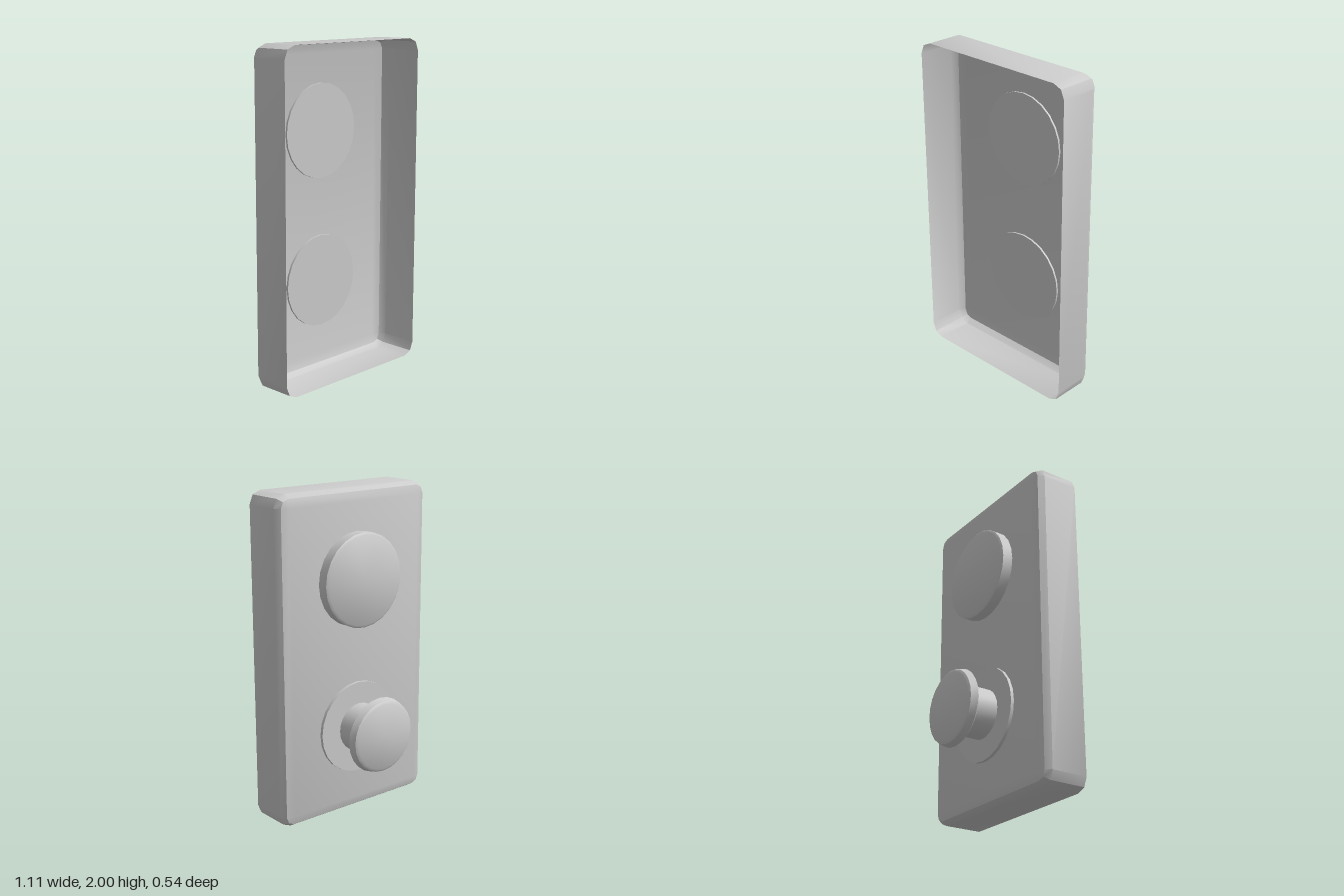
import * as THREE from 'three';
import { toCreasedNormals } from 'three/addons/utils/BufferGeometryUtils.js';

const W = 0.555, H = 1, R = 0.075, CREASE = 0.6;

// Open-fronted tray: rounded rectangles lofted from the front rim to the back panel
function shellGeometry() {
  const rings = [[0, 0.27], [0, 0.04], [0.023, 0.003], [R, -0.012]]; // inset, z
  const corners = [[1, 1], [-1, 1], [-1, -1], [1, -1]];
  const pos = [], idx = [], n = 12;
  for (const [inset, z] of rings) {
    corners.forEach(([sx, sy], c) => {
      for (let s = 0; s < 3; s++) {
        const a = (c + s / 2) * Math.PI / 2;
        pos.push(sx * (W - R) + Math.cos(a) * (R - inset),
          1 + sy * (H - R) + Math.sin(a) * (R - inset), z);
      }
    });
  }
  for (let k = 0; k < rings.length - 1; k++) {
    for (let i = 0; i < n; i++) {
      const j = (i + 1) % n;
      const a = k * n + i, b = k * n + j, c = a + n, d = b + n;
      // corner arcs shrink to a point at the back panel
      if (k < rings.length - 2 || i % 3 === 2) idx.push(a, c, d);
      idx.push(a, d, b);
    }
  }
  const e = (rings.length - 1) * n;
  idx.push(e, e + 9, e + 6, e, e + 6, e + 3);
  const g = new THREE.BufferGeometry();
  g.setAttribute('position', new THREE.Float32BufferAttribute(pos, 3));
  g.setIndex(idx);
  return toCreasedNormals(g, CREASE);
}

// Turned part pointing backwards (-z); profile is [radius, distance behind z = 0]
function turned(profile) {
  const g = new THREE.LatheGeometry(profile.map(([r, h]) => new THREE.Vector2(r, h)), 24);
  g.rotateX(-Math.PI / 2);
  return toCreasedNormals(g, CREASE);
}

export function createModel() {
  const group = new THREE.Group();
  const grey = new THREE.MeshStandardMaterial({ color: 0xcccccc });
  const thin = new THREE.MeshStandardMaterial({ color: 0xcccccc, side: THREE.DoubleSide });
  const add = (name, geometry, y, material = grey) => {
    const mesh = new THREE.Mesh(geometry, material);
    mesh.name = name;
    mesh.position.y = y;
    group.add(mesh);
  };

  add('trayShell', shellGeometry(), 0, thin);

  // Upper disc and lower base plate pass slightly through the panel
  add('upperDisc', turned([[0, 0], [0.285, 0], [0.285, 0.078], [0.27, 0.088], [0, 0.088]]), 1.465);
  add('lowerPlate', turned([[0, 0], [0.285, 0], [0.285, 0.032], [0, 0.032]]), 0.545);

  // Knob on a stem
  add('knobStem', turned([[0, 0.02], [0.15, 0.02], [0.15, 0.22], [0, 0.22]]), 0.545);
  add('knobHead', turned([[0, 0.21], [0.225, 0.21], [0.232, 0.218], [0.22, 0.26],
    [0.203, 0.271], [0, 0.271]]), 0.545);

  return group;
}
